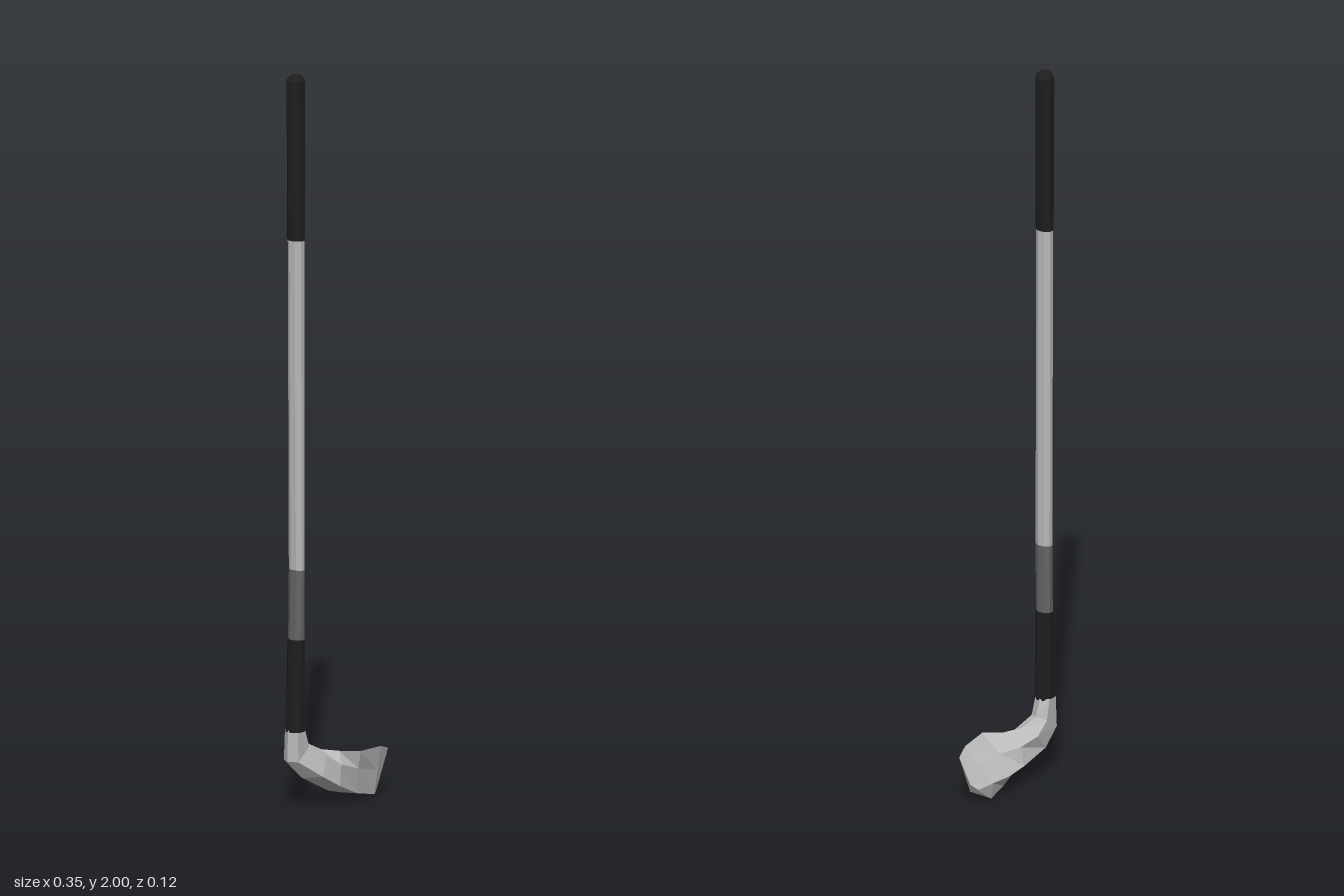
import * as THREE from 'three';

// Skin a list of rings (running downward or toward the toe) with closed ends
function loft(rings, material, name) {
  const pos = [];
  const tri = (a, b, c) => pos.push(...a, ...b, ...c);
  const n = rings[0].length;
  for (let i = 0; i < rings.length - 1; i++) {
    for (let j = 0; j < n; j++) {
      const k = (j + 1) % n;
      tri(rings[i][j], rings[i][k], rings[i + 1][k]);
      tri(rings[i][j], rings[i + 1][k], rings[i + 1][j]);
    }
  }
  const first = rings[0], last = rings[rings.length - 1];
  for (let j = 1; j < n - 1; j++) {
    tri(first[0], first[j + 1], first[j]);
    tri(last[0], last[j], last[j + 1]);
  }
  const geometry = new THREE.BufferGeometry();
  geometry.setAttribute('position', new THREE.Float32BufferAttribute(pos, 3));
  geometry.computeVertexNormals();
  const mesh = new THREE.Mesh(geometry, material);
  mesh.name = name;
  return mesh;
}

// Eight-sided oval ring around the shaft axis
function ring(x, y, rx, rz) {
  return Array.from({ length: 8 }, (_, j) => {
    const a = ((j + 0.5) * Math.PI) / 4;
    const s = 1 / Math.cos(Math.PI / 8);
    return [x + rx * s * Math.cos(a), y, -0.031 + rz * s * Math.sin(a)];
  });
}

export function createModel() {
  const make = (name, color) => {
    const m = new THREE.MeshStandardMaterial({ color, flatShading: true });
    m.name = name;
    return m;
  };
  const silver = make('silver', 0xb8b8b8);
  const grey = make('dark grey', 0x646464);
  const black = make('black rubber', 0x1e1e1e);

  const club = new THREE.Group();
  club.name = 'golfClub';

  // Grip with bevelled top
  club.add(loft([
    ring(-0.143, 2.0, 0.014, 0.014),
    ring(-0.143, 1.985, 0.024, 0.024),
    ring(-0.142, 1.55, 0.019, 0.024),
  ], black, 'grip'));

  // Tapering shaft
  club.add(loft([
    ring(-0.142, 1.55, 0.017, 0.023),
    ring(-0.139, 0.65, 0.014, 0.023),
  ], silver, 'shaft'));
  club.add(loft([
    ring(-0.139, 0.65, 0.014, 0.023),
    ring(-0.141, 0.46, 0.016, 0.023),
  ], grey, 'lowerShaft'));

  // Sleeve above the head
  club.add(loft([
    ring(-0.141, 0.46, 0.019, 0.024),
    ring(-0.145, 0.21, 0.026, 0.025),
  ], black, 'sleeve'));

  // Head: hosel bending into the blade. Each section runs
  // top edge, front, lower front, sole, lower face, upper face
  club.add(loft([
    [[-0.118, 0.215, -0.033], [-0.13, 0.215, -0.01], [-0.158, 0.215, -0.01],
      [-0.172, 0.215, -0.033], [-0.158, 0.215, -0.056], [-0.13, 0.215, -0.056]],
    [[-0.1, 0.17, -0.033], [-0.115, 0.165, -0.008], [-0.16, 0.13, -0.007],
      [-0.175, 0.13, -0.033], [-0.16, 0.13, -0.058], [-0.115, 0.16, -0.058]],
    [[-0.06, 0.147, -0.015], [-0.07, 0.135, 0.012], [-0.1, 0.085, 0.027],
      [-0.13, 0.08, -0.02], [-0.11, 0.085, -0.058], [-0.07, 0.13, -0.061]],
    [[-0.02, 0.14, 0.015], [-0.04, 0.11, 0.04], [-0.04, 0.05, 0.035],
      [-0.035, 0.03, -0.01], [-0.02, 0.06, -0.053], [-0.02, 0.11, -0.04]],
    [[0.015, 0.14, 0.06], [0.02, 0.09, 0.047], [0.03, 0.018, 0.035],
      [0.03, 0.012, -0.02], [0.045, 0.05, -0.05], [0.03, 0.1, -0.008]],
    [[0.11, 0.135, 0.048], [0.105, 0.07, 0.042], [0.1, 0.003, 0.035],
      [0.1, 0.0, -0.03], [0.1, 0.045, -0.036], [0.11, 0.09, 0.004]],
    [[0.155, 0.12, 0.035], [0.135, 0.07, 0.033], [0.11, 0.008, 0.031],
      [0.14, 0.025, -0.03], [0.162, 0.045, -0.033], [0.174, 0.06, -0.015]],
  ], silver, 'head'));

  return club;
}
